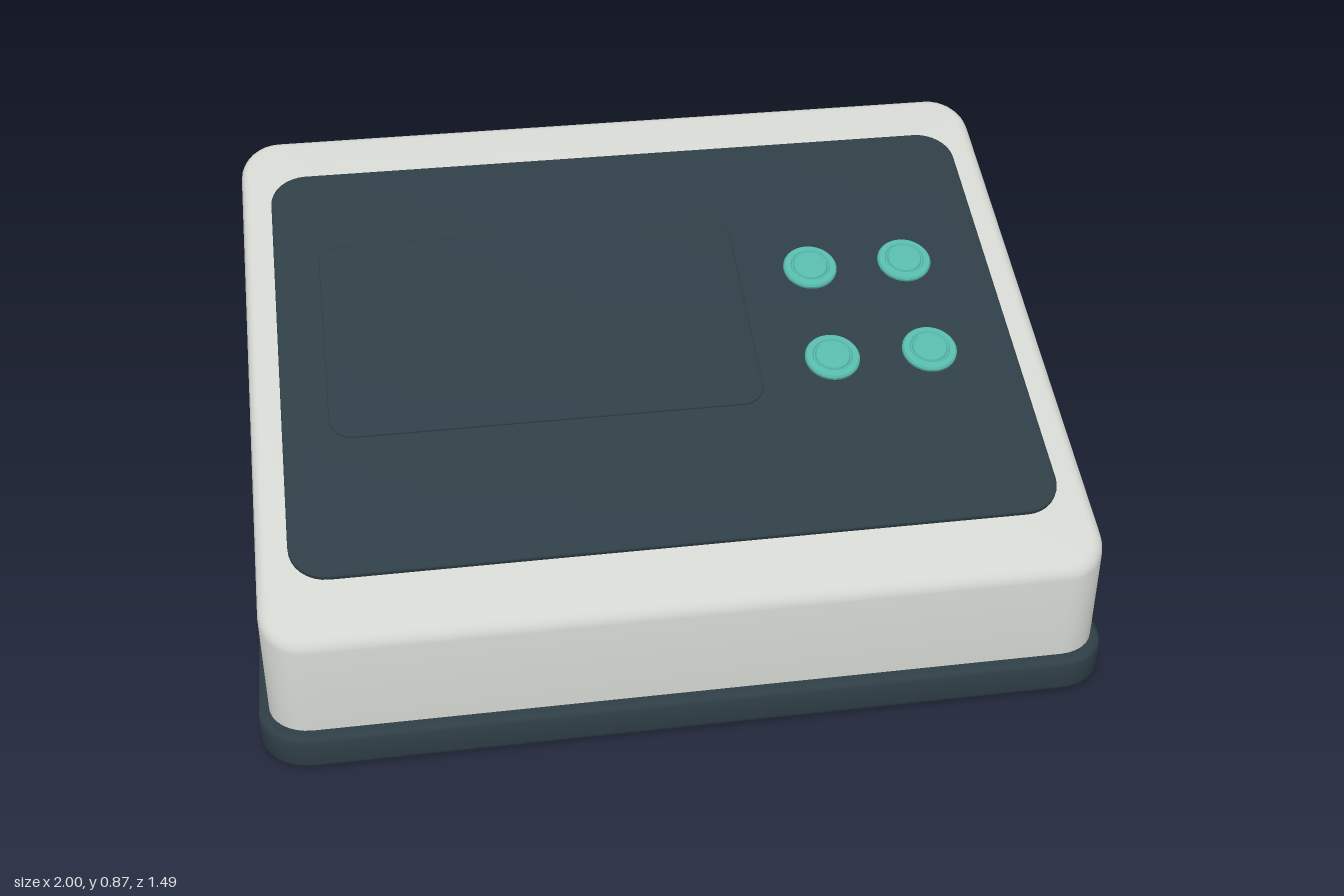
import * as THREE from 'three';
import { toCreasedNormals } from 'three/addons/utils/BufferGeometryUtils.js';

const TILT = Math.PI / 9;                       // slope of the console top
const HX = 0.975, HZ = 0.725, R = 0.1;          // body half sizes, corner radius
const EDGE = 0.03, FLOOR = 0.1, SEG = 8;
const slopeY = z => 0.613 - z * Math.tan(TILT);

const mat = (name, color) => {
  const m = new THREE.MeshStandardMaterial({ color });
  m.name = name;
  return m;
};

function add(parent, name, geo, material, x = 0, y = 0, z = 0) {
  const mesh = new THREE.Mesh(geo, material);
  mesh.name = name;
  mesh.position.set(x, y, z);
  parent.add(mesh);
  return mesh;
}

// Rounded rectangle as [x, z] points, running from +x towards +z
function outline(hx, hz, r) {
  const pts = [];
  for (let k = 0; k < 4; k++) {
    const sx = k === 0 || k === 3 ? 1 : -1, sz = k < 2 ? 1 : -1;
    for (let i = 0; i <= SEG; i++) {
      const a = (k + i / SEG) * Math.PI / 2;
      pts.push([sx * (hx - r) + r * Math.cos(a), sz * (hz - r) + r * Math.sin(a)]);
    }
  }
  return pts;
}

// Flat rounded slab lying on y = 0 with softened edges
function slab(w, d, h, r, bevel) {
  const pts = outline(w / 2 - bevel, d / 2 - bevel, r - bevel);
  const shape = new THREE.Shape(pts.map(([x, z]) => new THREE.Vector2(x, z)));
  const geo = new THREE.ExtrudeGeometry(shape, {
    depth: h - 2 * bevel, bevelThickness: bevel, bevelSize: bevel, bevelSegments: 3,
  });
  geo.translate(0, 0, bevel).rotateX(-Math.PI / 2);
  return toCreasedNormals(geo, 0.6);
}

// Wedge shell from stacked outlines; the two flat sides are left open
function shellGeometry() {
  const rings = [outline(HX, HZ, R).map(([x, z]) => [x, FLOOR, z])];
  for (let j = 0; j <= 5; j++) {
    const t = j / 5 * Math.PI / 2, inset = EDGE * (1 - Math.cos(t));
    rings.push(outline(HX - inset, HZ - inset, R - inset)
      .map(([x, z]) => [x, slopeY(z) - EDGE * (1 - Math.sin(t)), z]));
  }
  const n = rings[0].length, pos = rings.flat(2), idx = [];
  for (let j = 0; j < rings.length - 1; j++) {
    for (let i = 0; i < n; i++) {
      if (j === 0 && (i === n / 2 - 1 || i === n - 1)) continue;
      const a = j * n + i, b = j * n + (i + 1) % n;
      idx.push(a, a + n, b, b, a + n, b + n);
    }
  }
  const top = (rings.length - 1) * n, mid = rings.length * n;
  pos.push(0, slopeY(0), 0, 0, FLOOR, 0);
  for (let i = 0; i < n; i++) {
    const k = (i + 1) % n;
    idx.push(mid, top + k, top + i, mid + 1, i, k);
  }
  const geo = new THREE.BufferGeometry();
  geo.setAttribute('position', new THREE.Float32BufferAttribute(pos, 3));
  geo.setIndex(idx);
  return toCreasedNormals(geo, 0.6);
}

// Side wall with eight slanted vent slots; s is +1 or -1 for the side
function sideGeometry(s, depth) {
  const u = z => -s * z, zf = HZ - R;
  const shape = new THREE.Shape([
    [zf, FLOOR], [-zf, FLOOR], [-zf, slopeY(-zf) - EDGE], [zf, slopeY(zf) - EDGE],
  ].map(([z, y]) => new THREE.Vector2(u(z), y)));
  const lean = Math.atan2(0.052, 0.128), r = 0.016;
  for (let i = 0; i < 8; i++) {
    const z0 = 0.051 - i * 0.0626, pts = [];
    for (let k = 0; k < 2; k++) {
      for (let j = 0; j <= 8; j++) {
        const a = (k + j / 8) * Math.PI + lean;
        const cz = z0 - (k ? 0 : 0.052), cy = k ? 0.306 : 0.434;
        pts.push(new THREE.Vector2(u(cz - r * Math.cos(a)), cy + r * Math.sin(a)));
      }
    }
    // slot ends lean towards the back
    const c = new THREE.Vector2(u(z0 - 0.026), 0.37);
    const dir = new THREE.Vector2(u(-0.052), 0.128).normalize();
    const side = new THREE.Vector2(dir.y, -dir.x);
    pts.forEach((p, m) => {
      const k = m > 8 ? 1 : 0, a = (k + (m % 9) / 8) * Math.PI;
      const along = (k ? -0.069 : 0.069) + r * Math.sin(a);
      p.copy(c).addScaledVector(side, r * Math.cos(a)).addScaledVector(dir, along);
    });
    shape.holes.push(new THREE.Path(pts));
  }
  const geo = new THREE.ExtrudeGeometry(shape, { depth, bevelEnabled: false });
  return toCreasedNormals(geo.rotateY(s * Math.PI / 2), 0.6);
}

export function createModel() {
  const model = new THREE.Group();
  model.name = 'console';
  const casing = mat('light grey casing', 0xd3d6d0);
  const dark = mat('dark slate', 0x2f3e46);
  const teal = mat('teal button', 0x56b8aa);
  const metal = mat('screw metal', 0x8a8d8f);

  // Base plate and the shadow-gap seam above it
  add(model, 'basePlate', slab(2, 1.49, 0.088, 0.12, 0.014), dark, 0, 0.003);
  add(model, 'seam', slab(1.93, 1.43, 0.03, 0.09, 0.002), dark, 0, 0.08);

  // Wedge body with vented sides
  add(model, 'body', shellGeometry(), casing);
  for (const s of [1, -1]) {
    add(model, s > 0 ? 'leftVentWall' : 'rightVentWall', sideGeometry(s, 0.02), casing, s * (HX - 0.02));
    add(model, 'ventFloor', new THREE.BoxGeometry(0.01, 0.2, 0.58), casing, s * (HX - 0.024), 0.37, -0.195);
  }

  // Sloped control panel
  const panel = new THREE.Group();
  panel.name = 'controlPanel';
  panel.position.y = slopeY(0);
  panel.rotation.x = TILT;
  model.add(panel);
  add(panel, 'faceplate', slab(1.8, 1.229, 0.023, 0.09, 0.005), dark, 0, -0.01, -0.005);
  add(panel, 'screen', slab(1.045, 0.601, 0.016, 0.055, 0.004), dark, -0.267, 0.003, -0.068);

  // Round buttons: stepped rim with a raised cap
  const profile = [[0.068, 0], [0.068, 0.007], [0.064, 0.012], [0.05, 0.013], [0.047, 0.009],
    [0.044, 0.009], [0.041, 0.014], [0, 0.015]].map(([x, y]) => new THREE.Vector2(x, y));
  const button = toCreasedNormals(new THREE.LatheGeometry(profile, 40), 0.5);
  for (const x of [0.44, 0.685]) {
    for (const z of [-0.168, 0.106]) {
      add(panel, 'button', button, teal, x, 0.012, z / Math.cos(TILT));
    }
  }

  // Screws under the base, each with a small dark socket
  const screw = new THREE.CylinderGeometry(0.032, 0.028, 0.008, 24);
  const socket = new THREE.CylinderGeometry(0.012, 0.012, 0.004, 6);
  for (const x of [-0.74, 0.74]) {
    for (const z of [-0.5, 0.5]) {
      add(model, 'screw', screw, metal, x, 0.005, z);
      add(model, 'screwSocket', socket, dark, x, 0.002, z);
    }
  }
  return model;
}
